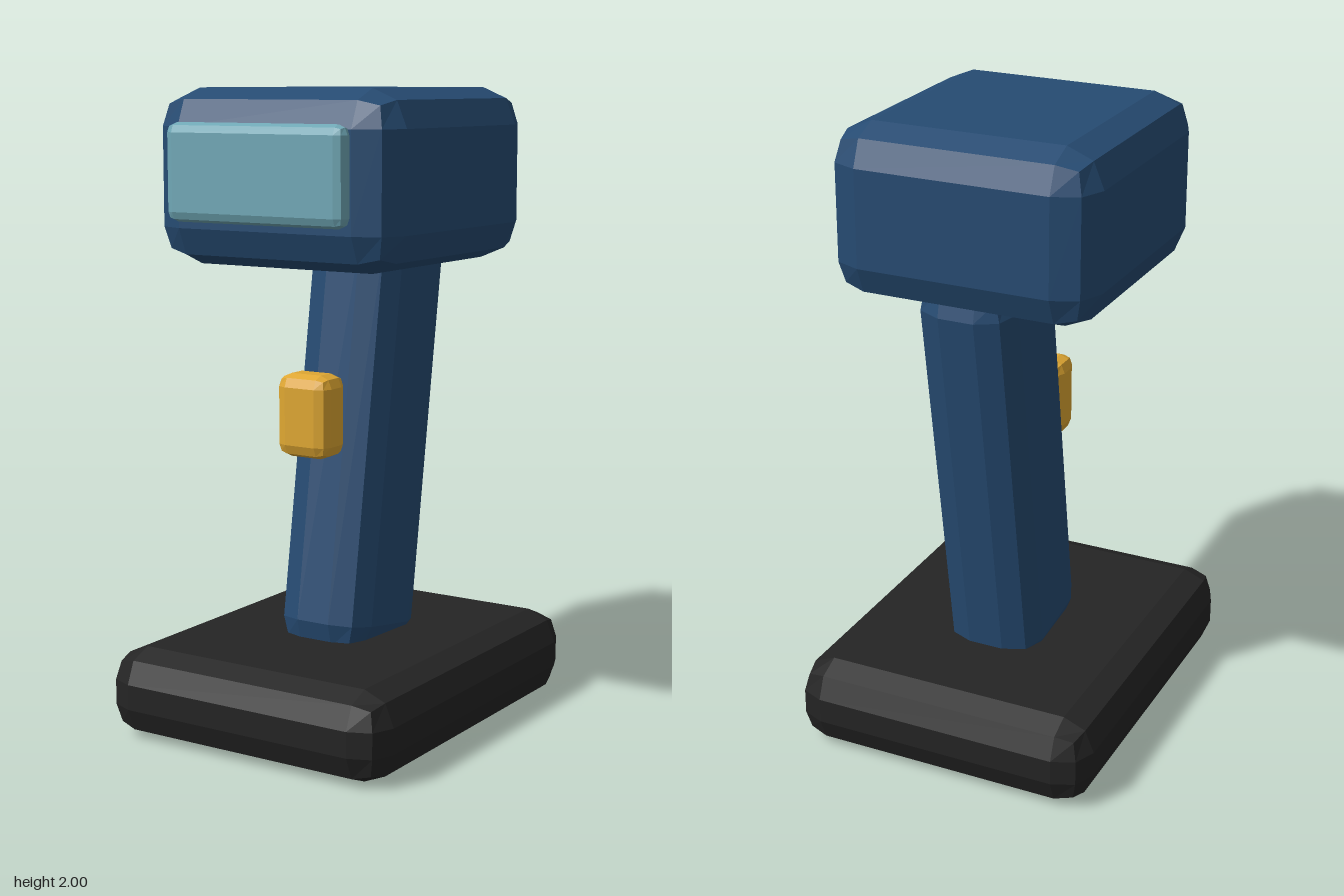
import * as THREE from 'three';
import { RoundedBoxGeometry } from 'three/addons/geometries/RoundedBoxGeometry.js';

function material(name, color) {
  const m = new THREE.MeshStandardMaterial({ color, flatShading: true });
  m.name = name;
  return m;
}

export function createModel() {
  const blue = material('navy blue', 0x264b72);
  const black = material('charcoal', 0x242424);
  const teal = material('pale teal', 0x70a8b6);
  const amber = material('amber', 0xdfa732);

  const model = new THREE.Group();
  model.name = 'handheldScanner';

  // Box with two-step bevelled edges, placed by its centre
  function block(name, mat, size, radius, position) {
    const mesh = new THREE.Mesh(new RoundedBoxGeometry(...size, 1, radius), mat);
    mesh.name = name;
    mesh.position.set(...position);
    model.add(mesh);
    return mesh;
  }

  // Heavy foot
  block('base', black, [1.0, 0.28, 1.226], 0.1, [0, 0.14, 0]);

  // Grip leaning back as it rises into the head
  const handle = block('handle', blue, [0.315, 1.4, 0.424], 0.1, [0, 0.9, -0.117]);
  handle.rotation.x = -0.154;

  // Head with the window on its front
  block('head', blue, [0.845, 0.533, 0.885], 0.115, [0, 1.7335, 0]);
  block('window', teal, [0.63, 0.295, 0.062], 0.03, [0, 1.752, 0.472]);

  // Trigger in front of the grip
  block('trigger', amber, [0.186, 0.26, 0.135], 0.04, [0, 1.003, 0.188]);

  return model;
}
